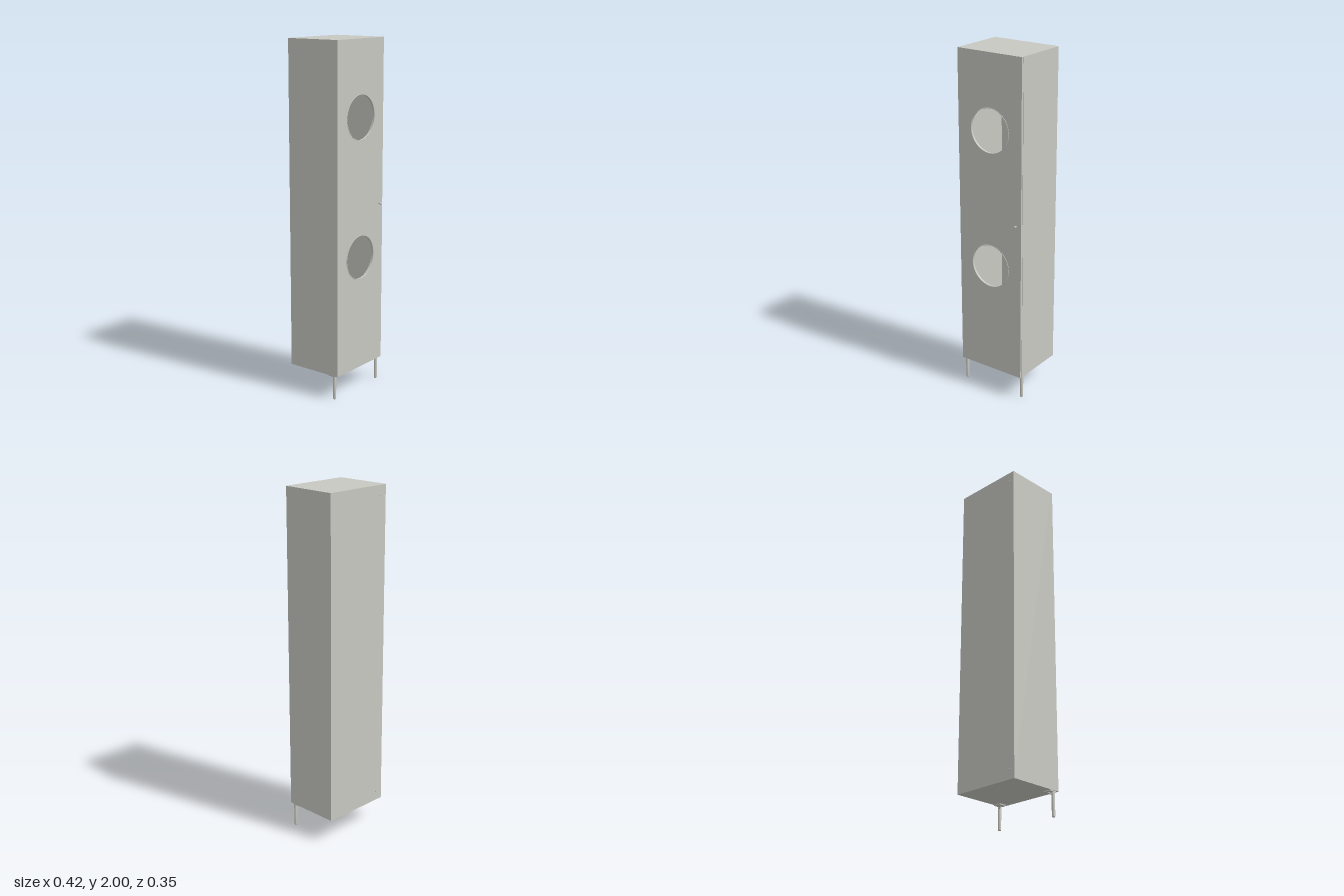
import * as THREE from 'three';

export function createModel() {
  const group = new THREE.Group();
  const paint = new THREE.MeshStandardMaterial({ color: 0xc8c8c2 });
  paint.name = 'warm grey paint';

  const add = (name, geometry, x, y, z) => {
    const mesh = new THREE.Mesh(geometry, paint);
    mesh.name = name;
    mesh.position.set(x, y, z);
    group.add(mesh);
    return mesh;
  };
  const box = (name, w, h, d, x, y, z) => add(name, new THREE.BoxGeometry(w, h, d), x, y, z);

  const bottom = 0.14, top = 2, height = top - bottom, midY = (top + bottom) / 2;
  const back = -0.175, bodyFront = 0.146, doorFront = 0.159;
  const depth = bodyFront - back, midZ = (bodyFront + back) / 2;
  const wall = 0.05, half = 0.21;

  // Hollow carcass
  for (const s of [-1, 1]) {
    box(s > 0 ? 'leftSide' : 'rightSide', wall, height, depth, s * (half - wall / 2), midY, midZ);
  }
  const innerWidth = 2 * (half - wall);
  box('topPanel', innerWidth, 0.02, depth, 0, top - 0.01, midZ);
  box('bottomPanel', innerWidth, 0.02, depth, 0, bottom + 0.01, midZ);
  box('backPanel', innerWidth, height - 0.04, 0.008, 0, midY, back + 0.004);

  // Door with two round openings
  const doorShape = new THREE.Shape();
  doorShape.moveTo(-half, bottom);
  doorShape.lineTo(half - 0.002, bottom);
  doorShape.lineTo(half - 0.002, top);
  doorShape.lineTo(-half, top);
  doorShape.closePath();
  const openings = [0.79, 1.577];
  for (const y of openings) {
    const hole = new THREE.Path();
    hole.absarc(0, y, 0.125, 0, Math.PI * 2, true);
    doorShape.holes.push(hole);
  }
  add('door', new THREE.ExtrudeGeometry(doorShape, {
    depth: doorFront - bodyFront, bevelEnabled: false, curveSegments: 32,
  }), 0, 0, bodyFront);

  // Thin rims around the openings
  for (const y of openings) {
    add('openingRim', new THREE.TorusGeometry(0.125, 0.002, 6, 48), 0, y, doorFront);
  }

  // Door knob
  const knobProfile = [[0, 0], [0.005, 0], [0.005, 0.006], [0.008, 0.01], [0.007, 0.015], [0, 0.016]];
  const knob = add('knob', new THREE.LatheGeometry(
    knobProfile.map(([r, y]) => new THREE.Vector2(r, y)), 16), 0.175, 1.07, doorFront);
  knob.rotation.x = Math.PI / 2;

  // Front legs with corner mounting plates
  for (const s of [-1, 1]) {
    const side = s > 0 ? 'left' : 'right';
    const legProfile = [[0, 0], [0.007, 0], [0.009, 0.004], [0.0095, 0.134], [0, 0.134]];
    add(side + 'Leg', new THREE.LatheGeometry(
      legProfile.map(([r, y]) => new THREE.Vector2(r, y)), 16), s * 0.198, 0, 0.13);
    box(side + 'LegPlate', 0.045, 0.006, 0.045, s * 0.185, bottom - 0.003, 0.118);
    const brace = new THREE.LineCurve3(
      new THREE.Vector3(s * 0.198, 0.118, 0.13), new THREE.Vector3(s * 0.175, 0.136, 0.108));
    add(side + 'LegBrace', new THREE.TubeGeometry(brace, 1, 0.004, 8), 0, 0, 0);
  }

  // Screw caps near the back corners
  for (const x of [-0.17, 0.17]) {
    for (const y of [0.195, 1.945]) {
      const cap = add('screwCap', new THREE.CylinderGeometry(0.007, 0.007, 0.003, 14), x, y, back - 0.0005);
      cap.rotation.x = Math.PI / 2;
    }
  }

  return group;
}
